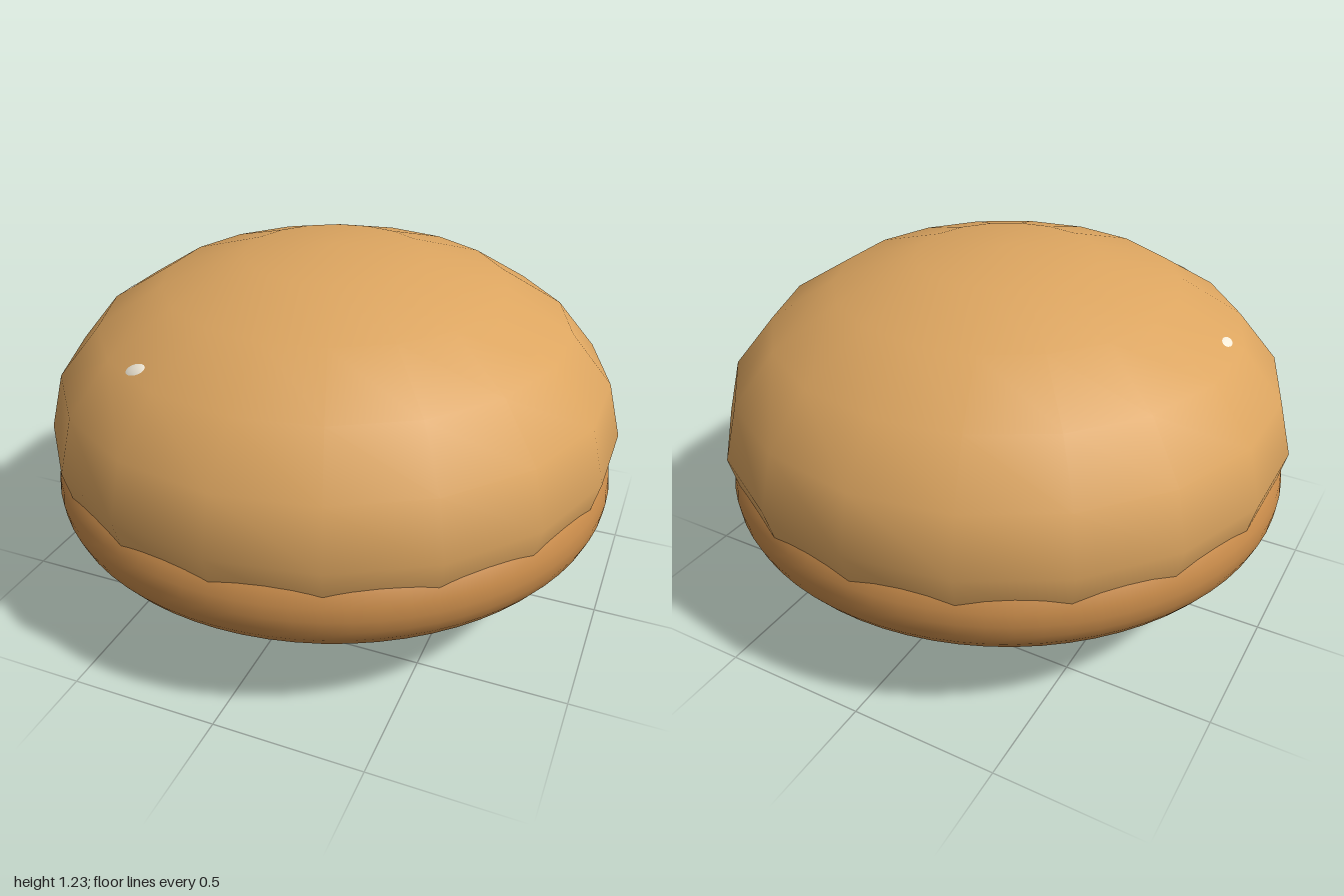
import * as THREE from 'three';

function addPart(group, name, geometry, color) {
  const mesh = new THREE.Mesh(geometry, new THREE.MeshStandardMaterial({ color }));
  mesh.name = name;
  group.add(mesh);
  return mesh;
}

export function createModel() {
  const group = new THREE.Group();
  group.name = 'bun';

  // Flattened coarse sphere, with a corner column facing front and back
  const body = new THREE.SphereGeometry(1, 18, 10);
  body.rotateY(Math.PI / 2);
  body.scale(0.995, 0.617, 0.995);
  addPart(group, 'bunBody', body, 0xdca560).position.set(0, 0.622, -0.005);

  // Smooth darker ring around the lower half
  const ring = new THREE.TorusGeometry(0.82, 0.165, 24, 72);
  ring.rotateX(Math.PI / 2);
  addPart(group, 'crustRing', ring, 0xc88b4a).position.y = 0.45;

  // Pale seeds, almost sunk in the crust: position, outward direction, turn
  const seeds = [
    { at: [-0.385, 0.984, 0.657], out: [-0.314, 0.78, 0.54], turn: 0 },
    { at: [-0.739, 0.998, 0.108], out: [-0.586, 0.805, 0.086], turn: Math.PI / 2 },
  ];
  const up = new THREE.Vector3(0, 1, 0);
  for (const { at, out, turn } of seeds) {
    const geometry = new THREE.SphereGeometry(1, 16, 12);
    geometry.scale(0.055, 0.02, 0.035);
    geometry.rotateY(turn);
    const seed = addPart(group, 'seed', geometry, 0xf2ead8);
    seed.position.set(...at);
    seed.quaternion.setFromUnitVectors(up, new THREE.Vector3(...out).normalize());
  }

  return group;
}
